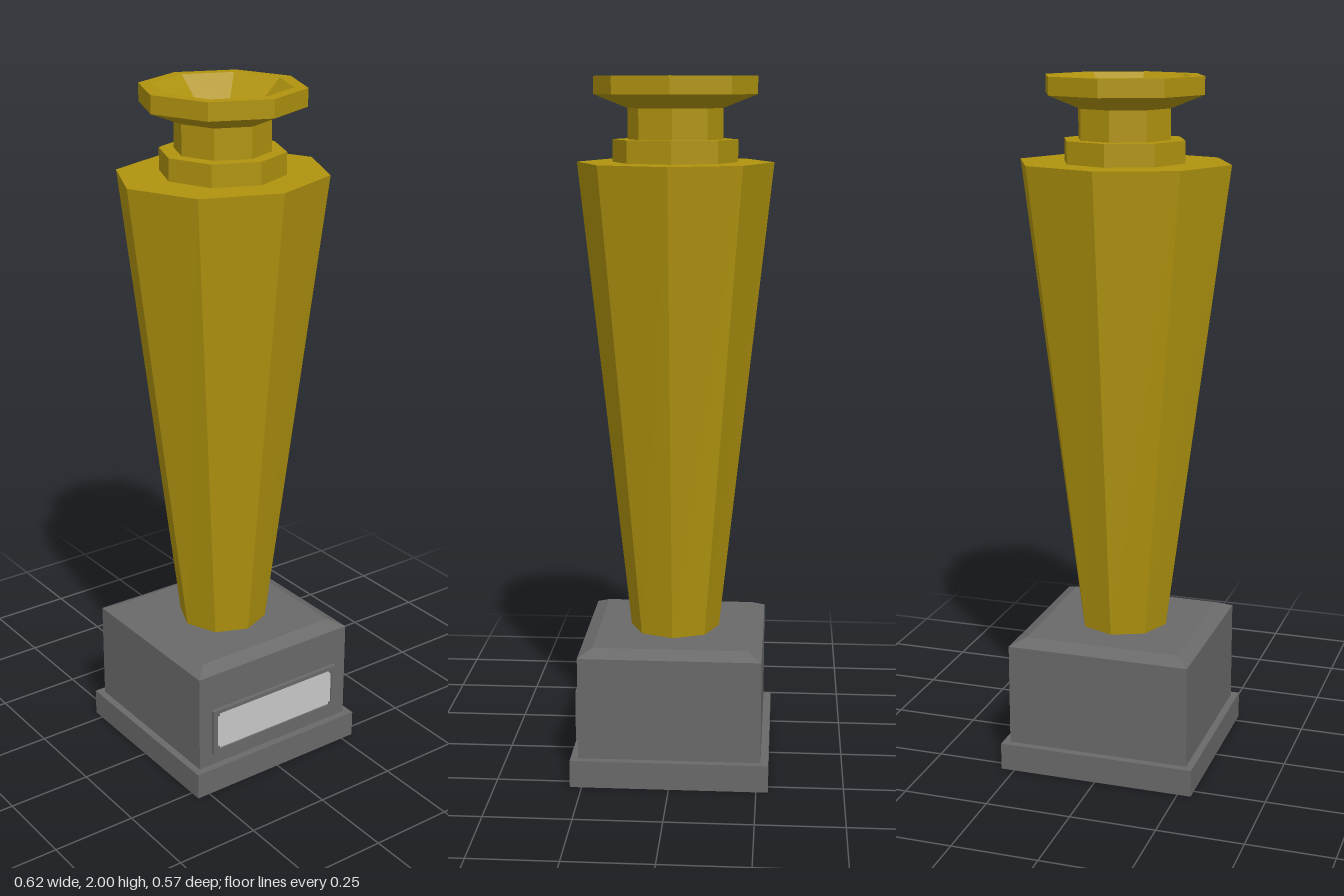
import * as THREE from 'three';

const gold = new THREE.MeshStandardMaterial({ color: 0xb0930f });
gold.name = 'gold';
const stone = new THREE.MeshStandardMaterial({ color: 0x696969 });
stone.name = 'darkStone';
const silver = new THREE.MeshStandardMaterial({ color: 0xc8c8c8 });
silver.name = 'silver';

// Faceted mesh with one normal per face
function part(name, geometry, material) {
  const flat = geometry.index ? geometry.toNonIndexed() : geometry;
  flat.computeVertexNormals();
  const mesh = new THREE.Mesh(flat, material);
  mesh.name = name;
  return mesh;
}

// Box between two heights whose top may be smaller than its bottom
function block(w, d, y0, y1, topW = w, topD = d) {
  const g = new THREE.BoxGeometry(w, y1 - y0, d).translate(0, (y0 + y1) / 2, 0);
  scaleAbove(g, (y0 + y1) / 2, topW / w, topD / d);
  return g;
}

function scaleAbove(g, y, sx, sz) {
  const p = g.attributes.position;
  for (let i = 0; i < p.count; i++) {
    if (p.getY(i) > y) p.setXYZ(i, p.getX(i) * sx, p.getY(i), p.getZ(i) * sz);
  }
}

// Rectangle with small square notches at the corners
function notchedRect(cls, w, h, n) {
  const path = new cls();
  path.setFromPoints([
    [-w + n, -h], [w - n, -h], [w - n, -h + n], [w, -h + n],
    [w, h - n], [w - n, h - n], [w - n, h], [-w + n, h],
    [-w + n, h - n], [-w, h - n], [-w, -h + n], [-w + n, -h + n],
  ].map(([x, y]) => new THREE.Vector2(x, y)));
  path.closePath();
  return path;
}

export function createModel() {
  const model = new THREE.Group();
  model.name = 'trophy';

  // Stepped base with a bevelled top
  const base = new THREE.Group();
  base.name = 'base';
  base.add(
    part('plinth', block(0.58, 0.568, 0, 0.08), stone),
    part('pedestal', block(0.538, 0.524, 0.08, 0.38), stone),
    part('pedestalBevel', block(0.538, 0.524, 0.38, 0.4, 0.456, 0.444), stone),
  );

  // Plaque frame with a notched opening and a silver plate set in it
  const frame = new THREE.Shape([
    [-0.226, -0.072], [0.226, -0.072], [0.226, 0.072], [-0.226, 0.072],
  ].map(([x, y]) => new THREE.Vector2(x, y)));
  frame.holes.push(notchedRect(THREE.Path, 0.212, 0.06, 0.008));
  const frameGeo = new THREE.ExtrudeGeometry(frame, { depth: 0.012, bevelEnabled: false });
  const plateGeo = new THREE.ExtrudeGeometry(
    notchedRect(THREE.Shape, 0.212, 0.06, 0.008), { depth: 0.007, bevelEnabled: false });
  base.add(
    part('plaqueFrame', frameGeo.translate(0, 0.193, 0.261), stone),
    part('plaquePlate', plateGeo.translate(0, 0.193, 0.261), silver),
  );

  // Eight-sided column, round at the foot and slightly flattened at the top
  const columnGeo = new THREE.CylinderGeometry(0.31, 0.13, 1.363, 8).translate(0, 1.0815, 0);
  scaleAbove(columnGeo, 1, 1, 0.9);

  // Collar, neck and hollow cup in one turned profile
  const profile = [
    [0.177, 1.763], [0.177, 1.826], [0.135, 1.826], [0.135, 1.912],
    [0.231, 1.95], [0.231, 2], [0.193, 2], [0.122, 1.933], [0, 1.933],
  ].map(([r, y]) => new THREE.Vector2(r, y));

  model.add(
    base,
    part('column', columnGeo, gold),
    part('cup', new THREE.LatheGeometry(profile, 8), gold),
  );
  return model;
}
